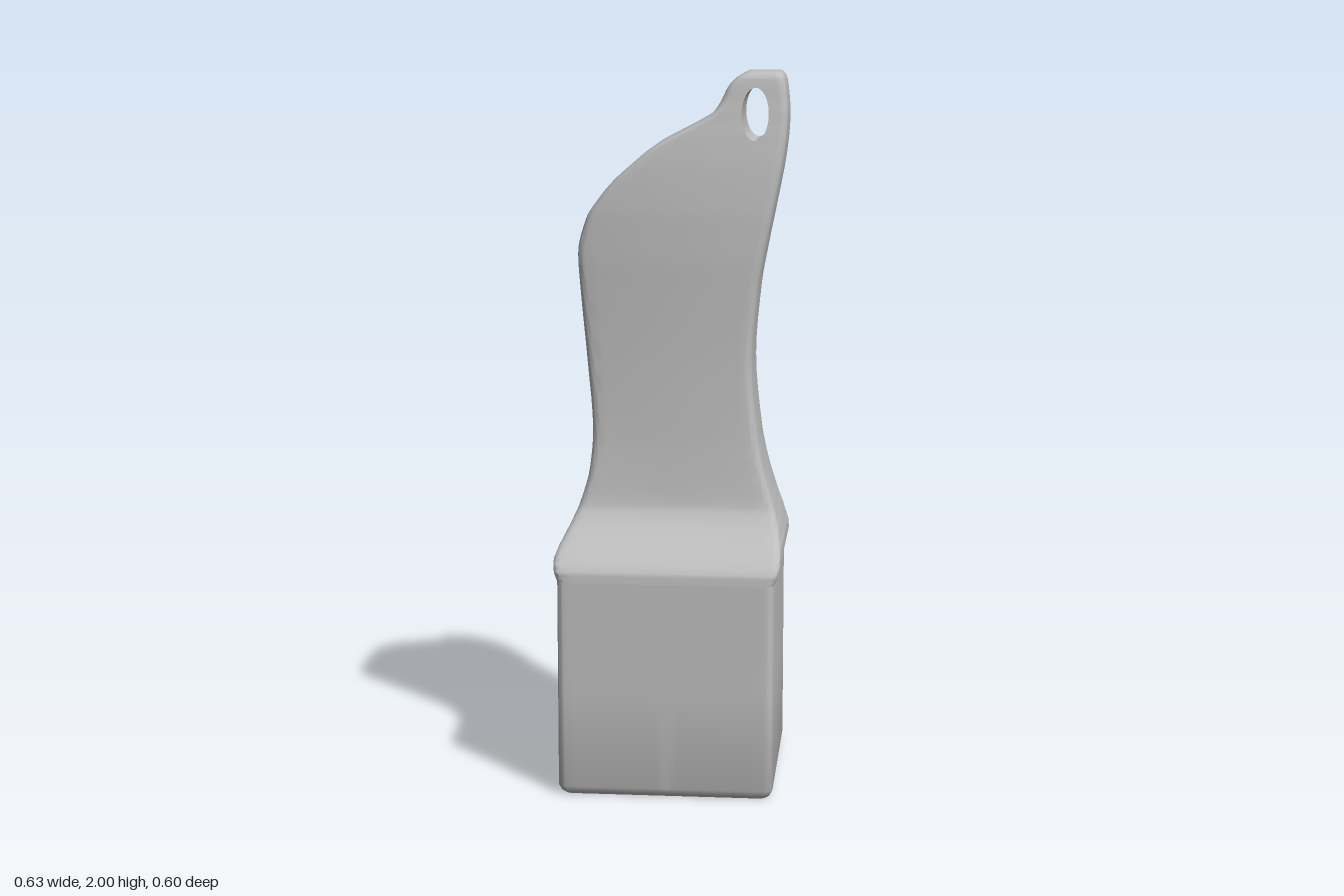
import * as THREE from 'three';
import { toCreasedNormals } from 'three/addons/utils/BufferGeometryUtils.js';

// Profile stations: height, left edge x, right edge x, half depth
const BASE = [
  [0, -0.288, 0.278, 0.283], [0.008, -0.297, 0.287, 0.292], [0.025, -0.305, 0.295, 0.3],
  [0.3, -0.305, 0.295, 0.3], [0.61, -0.305, 0.295, 0.3],
];
const HANDLE = [
  [0.61, -0.305, 0.295, 0.3], [0.635, -0.314, 0.305, 0.298], [0.66, -0.318, 0.31, 0.28],
  [0.69, -0.31, 0.31, 0.245], [0.72, -0.296, 0.305, 0.207], [0.76, -0.277, 0.297, 0.166],
  [0.8, -0.26, 0.285, 0.144], [0.9, -0.233, 0.256, 0.134], [1.0, -0.225, 0.237, 0.129],
  [1.2, -0.24, 0.22, 0.126], [1.4, -0.258, 0.235, 0.13], [1.5, -0.264, 0.252, 0.133],
  [1.6, -0.24, 0.272, 0.133], [1.65, -0.208, 0.282, 0.131], [1.7, -0.167, 0.292, 0.128],
  [1.75, -0.112, 0.301, 0.124], [1.8, -0.05, 0.308, 0.118], [1.83, 0.005, 0.311, 0.114],
  [1.86, 0.062, 0.313, 0.109], [1.89, 0.109, 0.314, 0.105], [1.92, 0.13, 0.312, 0.1],
  [1.96, 0.15, 0.308, 0.095], [1.985, 0.173, 0.303, 0.09], [2.0, 0.2, 0.293, 0.075],
];
const HOLE = { x: 0.225, y: 1.885, rx: 0.037, ry: 0.072 };

// Monotone cubic interpolation of one station column
function sample(table, col, y) {
  const n = table.length;
  const slope = (i) => (table[i + 1][col] - table[i][col]) / (table[i + 1][0] - table[i][0]);
  const tangent = (i) => {
    if (i === 0) return slope(0);
    if (i === n - 1) return slope(n - 2);
    const a = slope(i - 1), b = slope(i);
    return a * b <= 0 ? 0 : (2 * a * b) / (a + b);
  };
  let i = 0;
  while (i < n - 2 && y > table[i + 1][0]) i++;
  const h = table[i + 1][0] - table[i][0], t = (y - table[i][0]) / h;
  const t2 = t * t, t3 = t2 * t;
  return (2 * t3 - 3 * t2 + 1) * table[i][col] + (t3 - 2 * t2 + t) * h * tangent(i)
    + (3 * t2 - 2 * t3) * table[i + 1][col] + (t3 - t2) * h * tangent(i + 1);
}

// Half width of the eyelet opening at a height
const opening = (y) => HOLE.rx * Math.sqrt(Math.max(0, 1 - ((y - HOLE.y) / HOLE.ry) ** 2));

// Half of a rounded section: from the seam at the front, round one side, to the seam at the back
function halfRing(table, y, side) {
  const edge = sample(table, side < 0 ? 1 : 2, y), depth = sample(table, 3, y);
  const seam = HOLE.x * THREE.MathUtils.smoothstep(y, 1, 1.75) + side * opening(y);
  const r = Math.min(0.022, Math.abs(edge - seam) * 0.7);
  const crown = 0.1 * THREE.MathUtils.smoothstep(y, 0.75, 1.1);
  const front = [];
  const add = (x, inset) => {
    const c = Math.min(1, ((x - 0.02) / 0.27) ** 2);
    front.push(new THREE.Vector3(x, y, depth * (1 - crown * c) - inset));
  };
  const inner = edge - side * r;
  for (let k = 0; k < 10; k++) add(seam + (inner - seam) * k / 10, 0);
  for (let k = 0; k <= 6; k++) {
    const a = k / 6 * Math.PI / 2;
    add(inner + side * r * Math.sin(a), r * (1 - Math.cos(a)));
  }
  const back = front.map((p) => new THREE.Vector3(p.x, p.y, -p.z)).reverse();
  return [...front, ...back];
}

// Triangles between successive rows of points
function skin(out, rows, flip) {
  for (let i = 0; i + 1 < rows.length; i++) {
    for (let j = 0; j + 1 < rows[i].length; j++) {
      const a = rows[i][j], b = rows[i][j + 1], c = rows[i + 1][j + 1], d = rows[i + 1][j];
      for (const [p, q, s] of [[a, b, c], [a, c, d]]) {
        for (const v of flip ? [p, s, q] : [p, q, s]) out.push(v.x, v.y, v.z);
      }
    }
  }
}

function toMesh(name, positions, material) {
  const geometry = new THREE.BufferGeometry();
  geometry.setAttribute('position', new THREE.Float32BufferAttribute(positions, 3));
  const mesh = new THREE.Mesh(toCreasedNormals(geometry, 0.65), material);
  mesh.name = name;
  return mesh;
}

// Flat end across a half section
function cap(out, ring, flip) {
  const half = ring.length / 2;
  skin(out, [ring.slice(0, half), ring.slice(half).reverse()], flip);
}

// Heights: each station interval divided evenly
function heights(table, steps) {
  const ys = [table[0][0]];
  for (let i = 1; i < table.length; i++) {
    for (let k = 1; k <= steps; k++) {
      ys.push(table[i - 1][0] + (table[i][0] - table[i - 1][0]) * k / steps);
    }
  }
  return ys;
}

export function createModel() {
  const group = new THREE.Group();
  group.name = 'handledBlock';
  const grey = new THREE.MeshStandardMaterial({ color: 0xbdbdbd });
  grey.name = 'plain grey';

  // Heights around the eyelet are packed towards its ends
  const holeYs = [];
  for (let i = 0; i <= 20; i++) holeYs.push(HOLE.y - HOLE.ry * Math.cos(i / 20 * Math.PI));
  const top = HOLE.y + HOLE.ry, bottom = HOLE.y - HOLE.ry;
  const handleYs = heights(HANDLE, 4)
    .filter((y) => y < bottom - 0.002 || y > top + 0.002)
    .concat(holeYs).sort((a, b) => a - b);

  const base = [], handle = [], eyelet = [];
  for (const side of [-1, 1]) {
    const flip = side < 0;
    // Square block with a bevelled foot
    const baseRows = heights(BASE, 1).map((y) => halfRing(BASE, y, side));
    skin(base, baseRows, flip);
    cap(base, baseRows[0], !flip);
    // Waisted grip rising to the narrow tip
    const rows = handleYs.map((y) => halfRing(HANDLE, y, side));
    skin(handle, rows, flip);
    cap(handle, rows[rows.length - 1], flip);
    // Wall of the eyelet
    const wall = holeYs.map((y) => {
      const ring = halfRing(HANDLE, y, side);
      return [ring[0], ring[ring.length - 1]];
    });
    skin(eyelet, wall, !flip);
  }

  group.add(toMesh('base', base, grey), toMesh('handle', handle, grey), toMesh('eyelet', eyelet, grey));
  return group;
}
